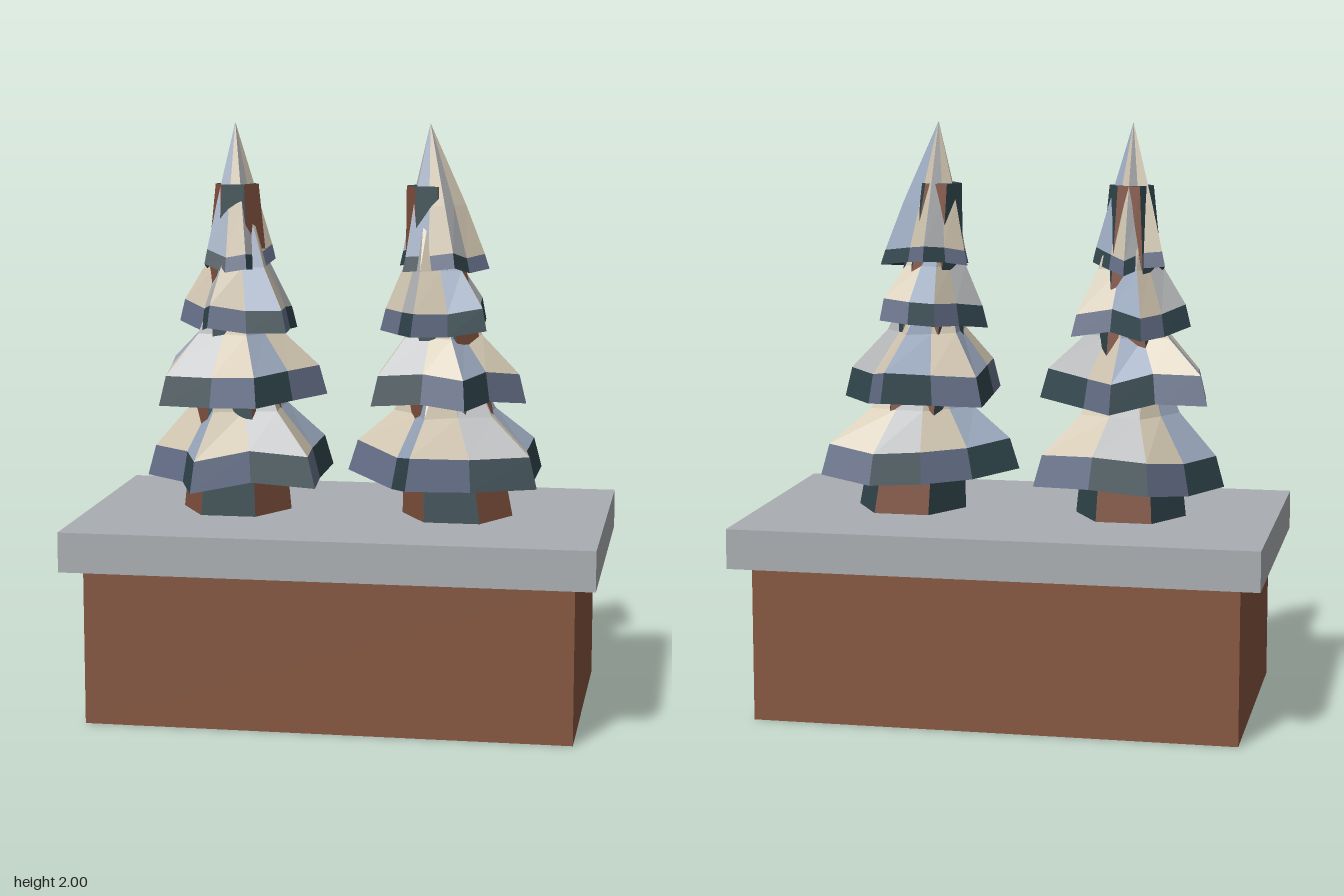
import * as THREE from 'three';

const mat = (name, color, side = THREE.FrontSide) => {
  const m = new THREE.MeshStandardMaterial({ color, flatShading: true, side });
  m.name = name;
  return m;
};

const D = THREE.DoubleSide;
const M = {
  brick: mat('brick brown', 0x85563f),
  stone: mat('stone grey', 0xa9adb1),
  bark: mat('bark brown', 0x7f503d, D),
  pine: mat('dark pine', 0x30454c, D),
  slate: mat('slate blue', 0x656f88, D),
  cream: mat('cream snow', 0xd2c7b2, D),
  blue: mat('blue snow', 0x9dabc0, D),
  grey: mat('grey snow', 0xb4b6b8, D),
};

// small seeded generator for the irregular branch rims
const seeded = (s) => () => (s = (s * 16807) % 2147483647) / 2147483647;

// strip of quads between two rings, coloured segment by segment
function strip(name, low, high, pick) {
  const group = new THREE.Group();
  group.name = name;
  const buckets = new Map();
  low.forEach((a, i) => {
    const j = (i + 1) % low.length;
    const b = low[j], c = high[j], d = high[i];
    const m = pick(i);
    if (!buckets.has(m)) buckets.set(m, []);
    for (const p of [a, b, c, a, c, d]) buckets.get(m).push(p.x, p.y, p.z);
  });
  for (const [m, pts] of buckets) {
    const g = new THREE.BufferGeometry();
    g.setAttribute('position', new THREE.Float32BufferAttribute(pts, 3));
    g.computeVertexNormals();
    const mesh = new THREE.Mesh(g, m);
    mesh.name = name;
    group.add(mesh);
  }
  return group;
}

const Y0 = 0.665, Y1 = 1.79;

function makeTree({ name, baseX, topX, tipX, seed, tiers }) {
  const tree = new THREE.Group();
  tree.name = name;
  const rnd = seeded(seed);
  const axis = (y) => baseX + (topX - baseX) * (y - Y0) / (Y1 - Y0);

  // six-sided tapering trunk with alternating bark panels
  const hexagon = (x, y, r) => Array.from({ length: 6 }, (_, i) => {
    const a = -i * Math.PI / 3;
    return new THREE.Vector3(x + r * Math.cos(a), y, r * Math.sin(a));
  });
  const foot = hexagon(baseX, Y0, 0.19), head = hexagon(topX, Y1, 0.075);
  tree.add(strip('trunk', foot, head, (i) => (i % 2 ? M.bark : M.pine)));
  tree.add(strip('trunkTop', head, hexagon(topX, Y1, 0), () => M.pine));

  // tiers of snowy branches, each a five-pointed star
  tiers.forEach(({ y, band, top, topR, mid, tips }, t) => {
    const cx = axis(y);
    const rim = [];
    tips.forEach(([x, z], i) => {
      const [nx, nz] = tips[(i + 1) % tips.length];
      const k = 0.8 + 0.24 * rnd();
      rim.push(new THREE.Vector3(x, y + 0.045 * rnd(), z));
      rim.push(new THREE.Vector3(cx + ((x + nx) / 2 - cx) * k, y + 0.035 * rnd(), (z + nz) / 2 * k));
    });
    const last = t === tiers.length - 1;
    const topX2 = last ? tipX : axis(top);
    const ring = (scale, fn) => rim.map((p) => {
      const ox = (p.x - cx) * scale, oz = p.z * scale;
      return fn(ox, p.y, oz);
    });
    const edge = ring(0.91, (ox, py, oz) => new THREE.Vector3(cx + ox, py + band, oz));
    const midY = y + band + (top - y - band) * 0.4;
    const midX = cx + (topX2 - cx) * 0.4;
    const middle = ring(mid, (ox, py, oz) => new THREE.Vector3(midX + ox, midY, oz));
    const crown = ring(1, (ox, py, oz) => {
      const l = Math.hypot(ox, oz);
      return new THREE.Vector3(topX2 + ox / l * topR, top, oz / l * topR);
    });
    const under = ring(0.5, (ox, py, oz) => new THREE.Vector3(cx + ox, y + band, oz));

    const snow = [M.cream, M.blue, M.cream, M.grey];
    const pickSnow = (i) => snow[(i + t) % 4];
    tree.add(strip('branchEdge', rim, edge, (i) => ((i + t) % 2 ? M.pine : M.slate)));
    tree.add(strip('lowerSnow', edge, middle, pickSnow));
    tree.add(strip('upperSnow', middle, crown, pickSnow));
    tree.add(strip('branchUnderside', under, rim, () => M.pine));
  });
  return tree;
}

// heights and profile shared by both trees
const profile = [
  { y: 0.765, band: 0.105, top: 1.25, topR: 0.07, mid: 0.52 },
  { y: 1.04, band: 0.1, top: 1.5, topR: 0.06, mid: 0.5 },
  { y: 1.285, band: 0.075, top: 1.74, topR: 0.045, mid: 0.55 },
  { y: 1.495, band: 0.05, top: 2.0, topR: 0, mid: 0.6 },
];
const withTips = (lists) => profile.map((p, i) => ({ ...p, tips: lists[i] }));

export function createModel() {
  const model = new THREE.Group();
  model.name = 'planterWithTrees';

  // planter body and its overhanging slab
  const box = (name, w, h, d, y, m) => {
    const b = new THREE.Mesh(new THREE.BoxGeometry(w, h, d), m);
    b.name = name;
    b.position.y = y;
    model.add(b);
  };
  box('planterBody', 1.64, 0.53, 0.94, 0.265, M.brick);
  box('planterSlab', 1.78, 0.135, 1.054, 0.5975, M.stone);

  // branch points per tier as [x, z], counter-clockwise from above
  model.add(makeTree({
    name: 'rightTree', baseX: -0.39, topX: -0.385, tipX: -0.39, seed: 77,
    tiers: withTips([
      [[-0.71, 0], [-0.49, 0.31], [-0.08, 0.21], [-0.09, -0.22], [-0.5, -0.36]],
      [[-0.67, -0.17], [-0.62, 0.2], [-0.27, 0.27], [-0.08, -0.04], [-0.35, -0.24]],
      [[-0.59, 0], [-0.45, 0.2], [-0.19, 0.14], [-0.2, -0.12], [-0.45, -0.2]],
      [[-0.51, -0.07], [-0.48, 0.1], [-0.33, 0.12], [-0.26, -0.04], [-0.38, -0.14]],
    ]),
  }));
  model.add(makeTree({
    name: 'leftTree', baseX: 0.38, topX: 0.275, tipX: 0.28, seed: 4242,
    tiers: withTips([
      [[0, 0], [0.25, 0.38], [0.67, 0.21], [0.65, -0.21], [0.28, -0.29]],
      [[0.1, -0.15], [0.11, 0.21], [0.43, 0.25], [0.61, -0.03], [0.41, -0.32]],
      [[0.11, 0], [0.25, 0.26], [0.49, 0.14], [0.46, -0.13], [0.25, -0.2]],
      [[0.17, -0.05], [0.2, 0.1], [0.38, 0.13], [0.48, -0.03], [0.3, -0.16]],
    ]),
  }));
  return model;
}
